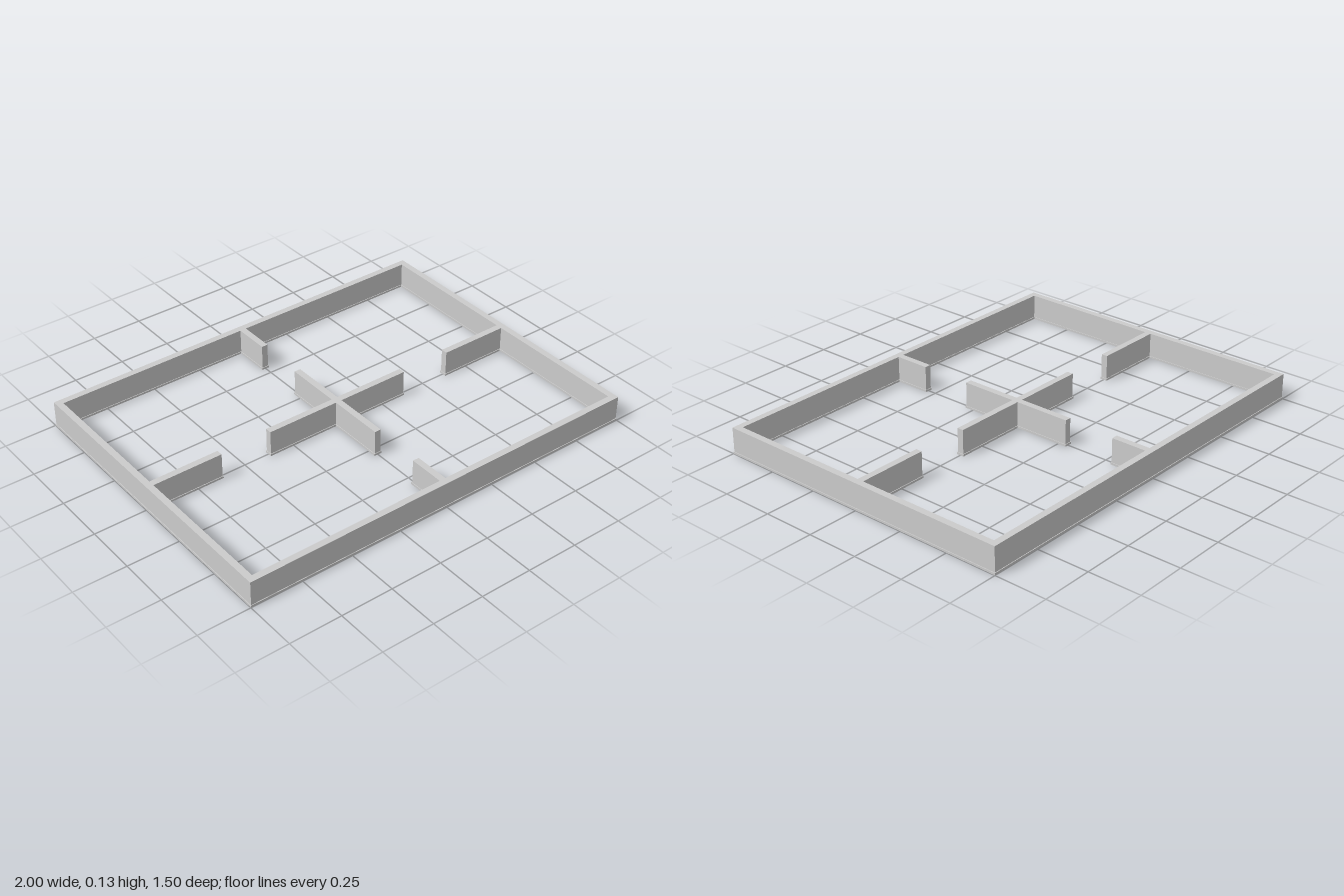
import * as THREE from 'three';

// Mirrors one quadrant's outline points around both axes into a closed loop
function mirrorLoop(quadrant) {
  const points = [];
  [[1, 1], [-1, 1], [-1, -1], [1, -1]].forEach(([sx, sz], i) => {
    const ordered = i % 2 ? [...quadrant].reverse() : quadrant;
    for (const [x, z] of ordered) points.push(new THREE.Vector2(x * sx, z * sz));
  });
  return points;
}

// Extrudes a plan shape upwards from y
function extrudeUp(name, shape, y, height, material) {
  const geometry = new THREE.ExtrudeGeometry(shape, { depth: height, bevelEnabled: false });
  geometry.rotateX(-Math.PI / 2);
  const mesh = new THREE.Mesh(geometry, material);
  mesh.name = name;
  mesh.position.y = y;
  return mesh;
}

// Outer walls with a short stub wall in the middle of each side; g widens every wall
function perimeterShape(g) {
  const t = 0.0155 + g, innerX = 0.966 - g, innerZ = 0.716 - g;
  const stubX = 0.626 - g, stubZ = 0.543 - g;
  const shape = new THREE.Shape(mirrorLoop([[0.997 + g, 0.747 + g]]));
  shape.holes.push(new THREE.Path(mirrorLoop([
    [stubX, t], [innerX, t], [innerX, innerZ], [t, innerZ], [t, stubZ],
  ])));
  return shape;
}

// Free-standing crossed walls in the middle
function crossShape(g) {
  const t = 0.0155 + g;
  return new THREE.Shape(mirrorLoop([[0.372 + g, t], [t, t], [t, 0.29 + g]]));
}

export function createModel() {
  const group = new THREE.Group();
  group.name = 'floorPlanWalls';
  const material = new THREE.MeshStandardMaterial({ color: 0xcccccc });
  const skirt = 0.003, skirtHeight = 0.01, wallTop = 0.126;

  for (const [name, plan] of [['perimeterWalls', perimeterShape], ['centreCross', crossShape]]) {
    // Thin base strip, slightly wider than the wall above it
    group.add(extrudeUp(name + 'Base', plan(skirt), 0, skirtHeight, material));
    group.add(extrudeUp(name, plan(0), skirtHeight, wallTop - skirtHeight, material));
  }
  return group;
}
